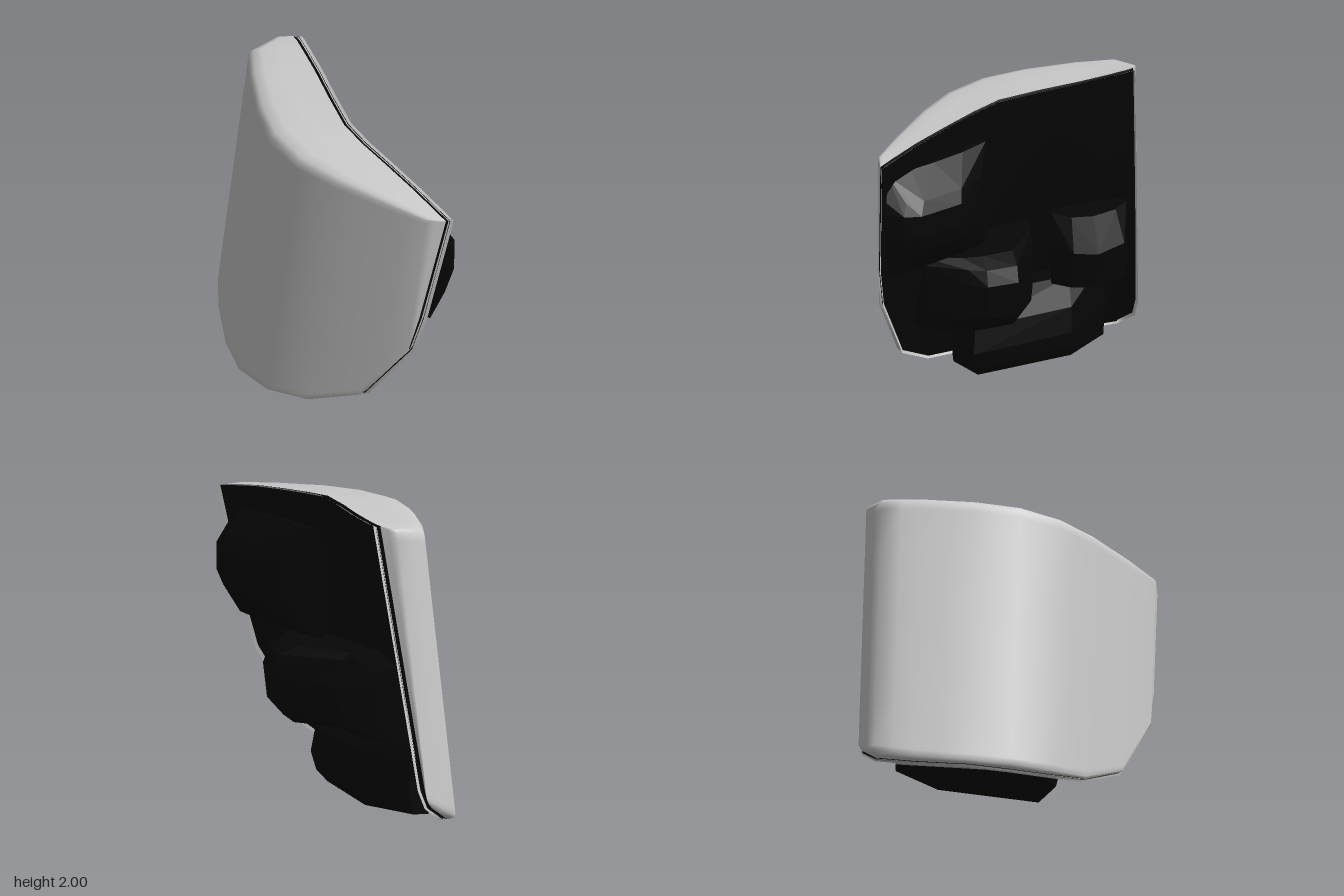
import * as THREE from 'three';
import { ConvexGeometry } from 'three/addons/geometries/ConvexGeometry.js';

const V = (x, y, z) => new THREE.Vector3(x, y, z);
const mix = (a, b, t) => a.clone().lerp(b, t);
const GREY = 0xcccccc, BLACK = 0x060606;

const material = (color, flatShading = false) =>
  new THREE.MeshStandardMaterial({ color, flatShading, side: THREE.DoubleSide });

// Horizontal lean of the plate per unit of height
const LEAN = 0.11, REF = 1.9;

// Stations from the back rim, round the outside, to the front rim:
// outer x, outer z, bottom y, top y | rim top x, y, z | rim bottom x, y, z
const STATIONS = [
  [-0.45, -0.775, 0.27, 2.00, -0.45, 2.00, -0.775, -0.74, 0.27, -0.775],
  [-0.57, -0.785, 0.20, 1.965, -0.42, 2.00, -0.74, -0.78, 0.15, -0.75],
  [-0.715, -0.64, 0.07, 1.93, -0.35, 1.995, -0.63, -0.86, 0.055, -0.64],
  [-0.655, -0.40, 0.03, 1.93, -0.24, 1.99, -0.45, -0.81, 0.025, -0.40],
  [-0.54, -0.07, 0.01, 1.92, -0.10, 1.985, -0.20, -0.71, 0.012, -0.08],
  [-0.40, 0.19, 0.01, 1.91, 0.05, 1.975, 0.05, -0.56, 0.015, 0.16],
  [-0.18, 0.40, 0.04, 1.90, 0.20, 1.955, 0.20, -0.35, 0.045, 0.37],
  [0.10, 0.545, 0.11, 1.89, 0.40, 1.93, 0.37, -0.08, 0.12, 0.52],
  [0.46, 0.685, 0.31, 1.87, 0.60, 1.90, 0.54, 0.285, 0.315, 0.66],
  [0.74, 0.78, 0.77, 1.85, 0.78, 1.86, 0.69, 0.61, 0.78, 0.76],
  [0.86, 0.77, 1.05, 1.84, 0.86, 1.84, 0.755, 0.69, 1.05, 0.775],
];

// Light polygon count: two spans per station, straight between stations
const SAMPLES = 2 * (STATIONS.length - 1);
const curve = (pick) => {
  const p = STATIONS.map(pick);
  return Array.from({ length: SAMPLES + 1 }, (_, i) =>
    i % 2 ? mix(p[(i - 1) / 2], p[(i + 1) / 2], 0.5) : p[i / 2]);
};
const last = STATIONS.length - 1;
const rimTop = curve((s) => V(s[4], s[5], s[6]));
const rimLow = curve((s) => V(s[7], s[8], s[9]));
const edge = (s, y) => V(s[0] - LEAN * (REF - y), y, s[1]);
const isRim = (i) => i === 0 || i === last;
const edgeTop = curve((s, i) => isRim(i) ? V(s[4], s[5], s[6]) : edge(s, s[3]));
const edgeLow = curve((s, i) => isRim(i) ? V(s[7], s[8], s[9]) : edge(s, s[2]));

// Surface through equally long rows of points
function surface(rows, flip = false) {
  const n = rows[0].length, index = [];
  for (let i = 0; i < rows.length - 1; i++) {
    for (let j = 0; j < n - 1; j++) {
      const a = i * n + j, b = a + n;
      if (flip) index.push(a, b + 1, b, a, a + 1, b + 1);
      else index.push(a, b, b + 1, a, b + 1, a + 1);
    }
  }
  const g = new THREE.BufferGeometry().setFromPoints(rows.flat());
  g.setIndex(index);
  g.computeVertexNormals();
  return g;
}

// Curved plate: open along the bottom, with a slightly domed top
function shellGeometry() {
  return surface(rimLow.map((low, i) => {
    const a = edgeLow[i], b = edgeTop[i], top = rimTop[i];
    const dome = (t, lift) => mix(top, b, t).add(V(0, lift * top.distanceTo(b), 0));
    return [
      low, mix(low, a, 0.6), mix(a, b, 0.008), mix(a, b, 0.03),
      ...[0.2, 0.4, 0.6, 0.8].map((t) => mix(a, b, t)),
      mix(a, b, 0.97), mix(a, b, 0.995), dome(0.93, 0.05), dome(0.78, 0.08), dome(0.45, 0.04), top,
    ];
  }));
}

// Offset of the rim trim away from the plate
const SHIFT = V(0.045, 0, -0.014);
const shifted = (points, k) => points.map((p) => p.clone().addScaledVector(SHIFT, k));

// Closed rim outline, shifted and slightly grown or shrunk
function rimLoop(k, grow) {
  const loop = [...rimLow, ...[...rimTop].reverse(), rimLow[0]];
  const centre = V(0, 1.05, 0);
  return shifted(loop, k).map((p) => p.addScaledVector(p.clone().sub(centre).normalize(), grow));
}

// Dark lining, gently padded outwards
function liningGeometry() {
  const low = shifted(rimLow, 0.6), top = shifted(rimTop, 0.6), steps = 10;
  return surface(low.map((p, i) => Array.from({ length: steps + 1 }, (_, j) => {
    const t = j / steps;
    const swell = 0.07 * Math.sin(Math.PI * t) * Math.sin(Math.PI * i / SAMPLES);
    return mix(p, top[i], t).add(V(0.8 * swell, 0, -0.6 * swell));
  })), true);
}

// Pads: plan of the seat line, plan of the bulge, and [height, fullness] levels
const PADS = [
  { name: 'frontPad', seat: [[0.08, 0.12], [0.72, 0.71]],
    bulge: [[0.4, 0.15], [0.64, 0.25], [0.86, 0.49], [0.88, 0.6], [0.86, 0.72]],
    levels: [[1.02, 0.2], [1.1, 0.45], [1.25, 0.9], [1.35, 1], [1.5, 1], [1.58, 0.85], [1.73, 0.25]] },
  { name: 'middlePad', seat: [[-0.32, -0.1], [0.27, 0.58]],
    bulge: [[-0.06, -0.16], [0.39, -0.1], [0.48, 0.09], [0.47, 0.2], [0.4, 0.5]],
    levels: [[0.5, 0.75], [0.62, 0.95], [0.85, 1], [0.95, 0.93], [1.0, 0.7]] },
  { name: 'backPad', seat: [[-0.6, -0.72], [-0.4, -0.25]],
    bulge: [[-0.4, -0.74], [-0.17, -0.74], [0.02, -0.59], [0.03, -0.43], [-0.13, -0.28]],
    levels: [[0.56, 0.5], [0.66, 0.95], [0.9, 1], [1.05, 0.5]] },
  { name: 'bottomPad', seat: [[-0.72, -0.55], [-0.35, 0.32]],
    bulge: [[-0.6, -0.58], [-0.2, -0.4], [0.08, 0.05], [0.19, 0.2], [-0.08, 0.36]],
    levels: [[0.06, 0.82], [0.13, 0.94], [0.25, 1], [0.42, 0.95], [0.55, 0.5]] },
];

function padGeometry({ seat, bulge, levels }) {
  const points = [];
  for (const [y, k] of levels) {
    const [a, b] = seat.map(([x, z]) => V(x, y, z));
    points.push(a, b);
    bulge.forEach(([x, z], i) => {
      const base = mix(a, b, i / (bulge.length - 1));
      points.push(base.lerp(V(x, y, z), k));
    });
  }
  return new ConvexGeometry(points);
}

export function createModel() {
  const model = new THREE.Group();
  model.name = 'armourPlate';
  const add = (name, geometry, mat) => {
    const mesh = new THREE.Mesh(geometry, mat);
    mesh.name = name;
    model.add(mesh);
  };

  add('shell', shellGeometry(), material(GREY));

  // Dark seam, then a thin light lip round the rim
  add('rimSeam', surface([rimLoop(0, 0), rimLoop(0.45, -0.01)], true), material(BLACK));
  add('rimLip', surface([rimLoop(0.45, -0.01), rimLoop(1, 0.006)], true), material(GREY));
  add('lining', liningGeometry(), material(BLACK));

  for (const pad of PADS) add(pad.name, padGeometry(pad), material(BLACK, true));
  return model;
}
